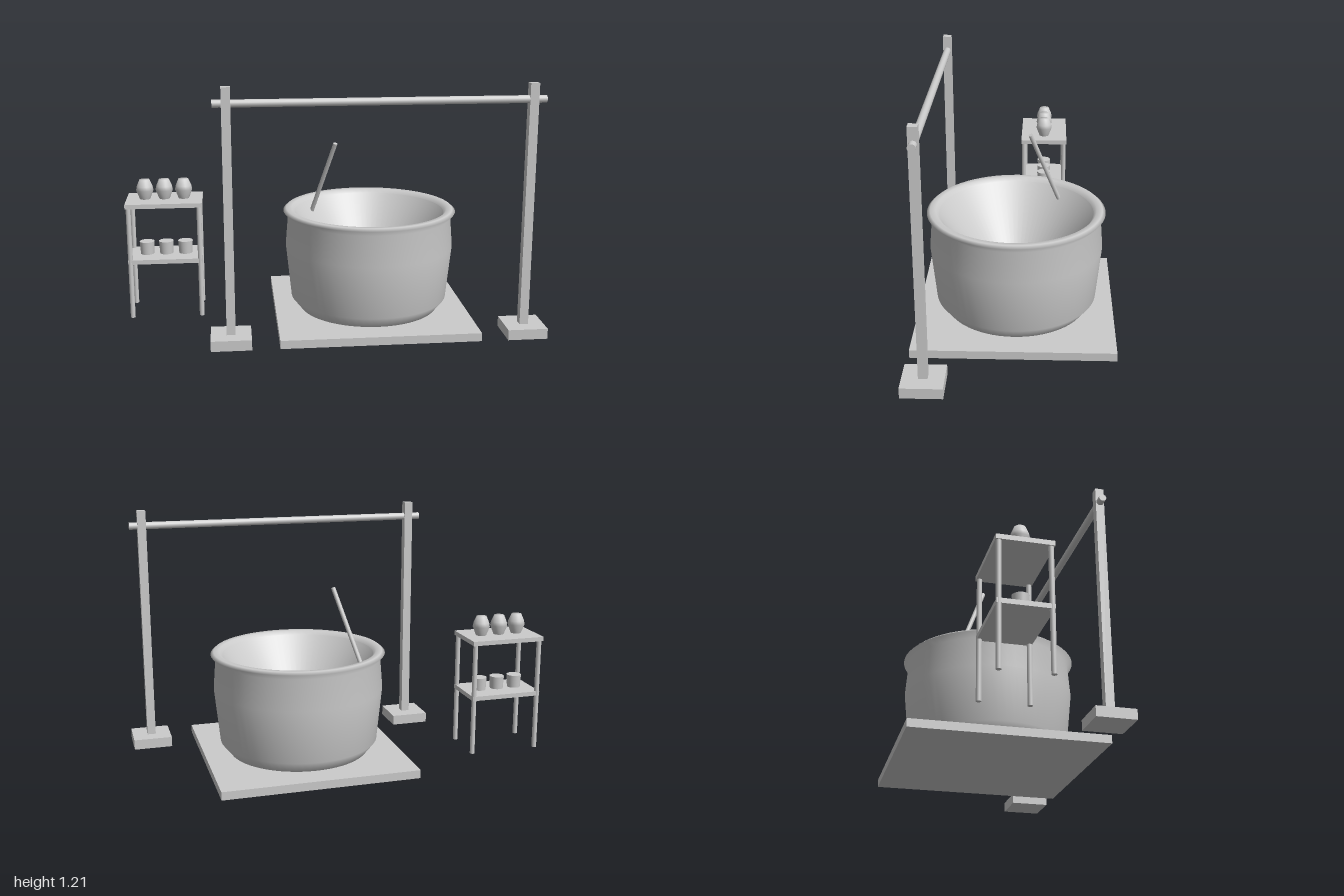
import * as THREE from 'three';

const material = new THREE.MeshStandardMaterial({ color: 0xcccccc });

export function createModel() {
  const root = new THREE.Group();

  const add = (name, geometry, x, y, z, parent = root) => {
    const mesh = new THREE.Mesh(geometry, material);
    mesh.name = name;
    mesh.position.set(x, y, z);
    parent.add(mesh);
    return mesh;
  };
  const group = (name) => {
    const g = new THREE.Group();
    g.name = name;
    root.add(g);
    return g;
  };
  const box = (w, h, d) => new THREE.BoxGeometry(w, h, d);
  const rod = (r, length, sides = 16) => new THREE.CylinderGeometry(r, r, length, sides);
  const lathe = (profile, sides) =>
    new THREE.LatheGeometry(profile.map(([r, y]) => new THREE.Vector2(r, y)), sides);

  // Ground slab under the cauldron
  add('slab', box(0.95, 0.04, 0.95), 0.205, 0.02, 0);

  // Cauldron: bulging wall, rolled rim, conical inside
  add('cauldron', lathe([
    [0.31, 0.001], [0.345, 0.04], [0.39, 0.097], [0.417, 0.36], [0.405, 0.51],
    [0.428, 0.535], [0.413, 0.548], [0.385, 0.547], [0.37, 0.53], [0.37, 0.53], [0, 0.042],
  ], 64), 0.205, 0, 0);

  // Stirring stick leaning in the cauldron
  const top = new THREE.Vector3(0.043, 0.858, -0.064);
  const bottom = new THREE.Vector3(-0.073, 0.45, -0.217);
  const axis = top.clone().sub(bottom);
  const centre = top.clone().add(bottom).multiplyScalar(0.5);
  const stick = add('stirringStick', rod(0.011, axis.length(), 12), centre.x, centre.y, centre.z);
  stick.quaternion.setFromUnitVectors(new THREE.Vector3(0, 1, 0), axis.normalize());

  // Two posts on footings, joined by a crossbar
  const frame = group('hangingFrame');
  for (const [side, x] of [['right', -0.495], ['left', 0.902]]) {
    add(side + 'Footing', box(0.19, 0.05, 0.19), x, 0.025, 0.382, frame);
    add(side + 'Post', box(0.042, 1.16, 0.042), x, 0.627, 0.382, frame);
  }
  add('crossbar', rod(0.018, 1.52), 0.203, 1.132, 0.382, frame).rotation.z = Math.PI / 2;

  // Shelf stand with four legs
  const stand = group('shelfStand');
  const cx = -0.811, cz = -0.126;
  add('topShelf', box(0.376, 0.022, 0.25), cx, 0.574, cz, stand);
  add('lowerShelf', box(0.365, 0.022, 0.24), cx, 0.289, cz, stand);
  for (const sx of [-1, 1])
    for (const sz of [-1, 1])
      add('leg', rod(0.012, 0.565, 12), cx + sx * 0.172, 0.2825, cz + sz * 0.11, stand);

  // Rounded jars above, short cups below
  const jar = lathe([
    [0, 0], [0.026, 0], [0.026, 0], [0.043, 0.045], [0.039, 0.065], [0.025, 0.098], [0, 0.098],
  ], 24);
  const cup = new THREE.CylinderGeometry(0.037, 0.033, 0.064, 24);
  for (const i of [-1, 0, 1]) {
    add('jar', jar, cx + i * 0.096, 0.585, -0.126, stand);
    add('cup', cup, cx + i * 0.096, 0.332, -0.126, stand);
  }

  return root;
}
